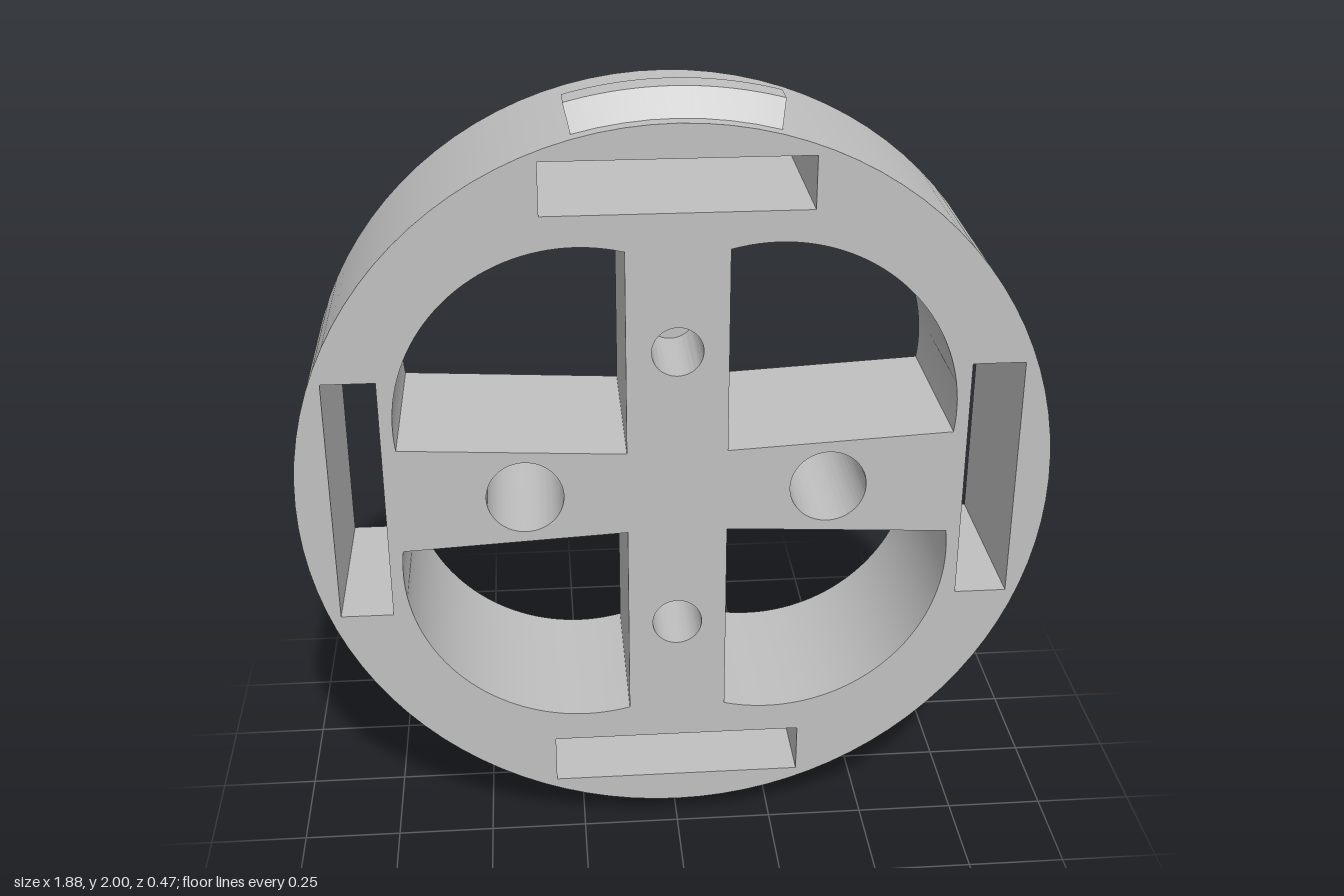
import * as THREE from 'three';
import { mergeGeometries, toCreasedNormals } from 'three/addons/utils/BufferGeometryUtils.js';

const HALF = 0.235;      // half thickness of the wheel
const RADIUS = 0.94;
const CREASE = 0.4;

function circle(x, y, r, Type = THREE.Path) {
  return new Type().absarc(x, y, r, 0, Math.PI * 2, false);
}

function polygon(points) {
  return new THREE.Path(points.map(([x, y]) => new THREE.Vector2(x, y)));
}

function slot(cx, cy, w, h) {
  const a = w / 2, b = h / 2;
  return polygon([[cx - a, cy - b], [cx + a, cy - b], [cx + a, cy + b], [cx - a, cy + b]]);
}

// Quarter opening: two straight spoke edges closed by a round outer corner
function quarterOpening(sx, sy) {
  const c = [0.24, 0.2], r = 0.45;
  const start = Math.asin((0.14 - c[1]) / r);
  const end = Math.PI - Math.acos((c[0] - 0.125) / r);
  const points = [[0.125, 0.11]];
  for (let i = 0; i <= 40; i++) {
    const a = start + (end - start) * i / 40;
    points.push([c[0] + r * Math.cos(a), c[1] + r * Math.sin(a)]);
  }
  return polygon(points.map(([x, y]) => [x * sx, y * sy]));
}

// Curved rim tab with a trapezoid section (radius, depth)
function tabGeometry() {
  const section = [[0.936, 0.01], [1, 0.067], [1, 0.138], [0.936, 0.2]]
    .map(([r, z]) => new THREE.Vector2(r, z));
  const spread = THREE.MathUtils.degToRad(15);
  const parts = [toCreasedNormals(
    new THREE.LatheGeometry(section, 24, Math.PI - spread, spread * 2), CREASE)];
  for (const side of [1, -1]) {
    const outline = section.map(p => new THREE.Vector2(p.x * side, p.y));
    const cap = new THREE.ShapeGeometry(new THREE.Shape(outline));
    cap.rotateY(Math.PI - side * spread - side * Math.PI / 2);
    parts.push(cap.toNonIndexed());
  }
  return mergeGeometries(parts).rotateX(Math.PI / 2);
}

export function createModel() {
  const model = new THREE.Group();
  model.name = 'spokedWheel';
  const grey = new THREE.MeshStandardMaterial({ color: 0xc0c0c0 });
  grey.name = 'grey';

  function add(name, geometry, y = 1) {
    const mesh = new THREE.Mesh(geometry, grey);
    mesh.name = name;
    mesh.position.y = y;
    model.add(mesh);
    return mesh;
  }

  // Wheel body with openings, slots and round holes
  const disc = circle(0, 0, RADIUS, THREE.Shape);
  for (const s of [1, -1]) {
    disc.holes.push(
      quarterOpening(s, 1), quarterOpening(s, -1),
      slot(0, s * 0.792, 0.644, 0.13), slot(s * 0.788, 0, 0.132, 0.644),
      circle(s * 0.378, 0, 0.096), circle(0, s * 0.378, 0.063));
  }
  const body = new THREE.ExtrudeGeometry(disc, {
    depth: HALF * 2, bevelEnabled: false, curveSegments: 48,
  });
  body.translate(0, 0, -HALF);
  add('wheelBody', toCreasedNormals(body, CREASE));

  // Floors that close the two small holes at the back
  for (const s of [1, -1]) {
    const plug = new THREE.ExtrudeGeometry(circle(0, 0, 0.063, THREE.Shape), {
      depth: HALF, bevelEnabled: false, curveSegments: 48,
    });
    add('blindHoleFloor', plug, 1 + s * 0.378).position.z = -HALF;
  }

  // Tabs on the top and bottom of the rim
  add('topTab', tabGeometry());
  const bottom = tabGeometry();
  bottom.rotateZ(Math.PI);
  add('bottomTab', bottom);

  return model;
}
